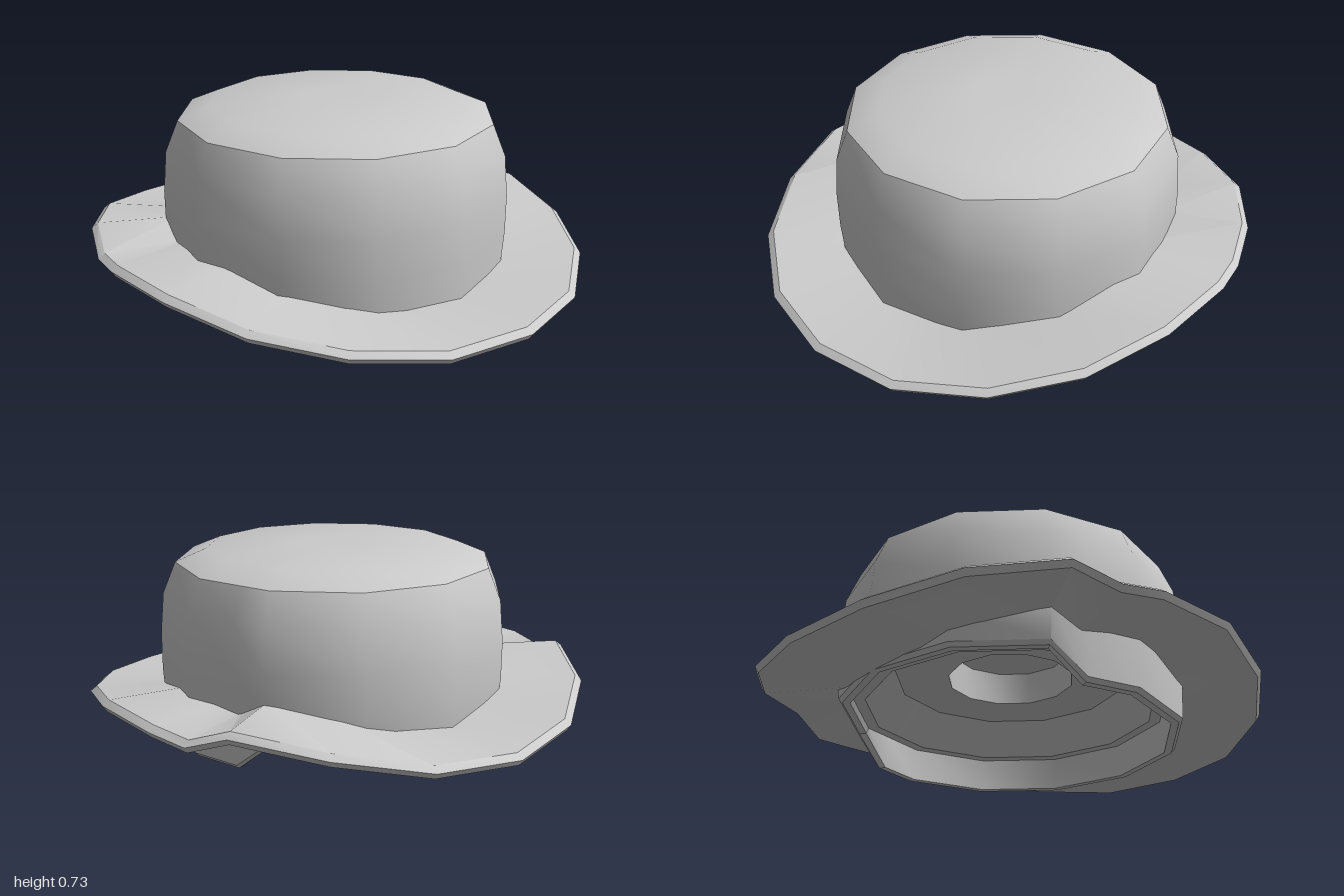
import * as THREE from 'three';
import { toCreasedNormals } from 'three/addons/utils/BufferGeometryUtils.js';

const material = new THREE.MeshStandardMaterial({ color: 0xcccccc, side: THREE.DoubleSide });

// Full circle of angles (degrees from the front) from one half, mirrored
const fullCircle = (half) => [...half, ...half.slice(1, -1).reverse().map((a) => 360 - a)];

// Skin running round the given angles; section(a) returns [radius, y] points, outer side first
function loft(name, angles, section, crease) {
  const rings = angles.map((deg) => {
    const a = THREE.MathUtils.degToRad(deg);
    return section(deg <= 180 ? deg : 360 - deg).map(([r, y]) => [r * Math.sin(a), y, r * Math.cos(a)]);
  });
  const n = rings[0].length;
  const isCentre = (p) => Math.hypot(p[0], p[2]) < 1e-6;
  const positions = [];
  rings.forEach((ring, i) => {
    const next = rings[(i + 1) % rings.length];
    for (let j = 0; j < n - 1; j++) {
      const [a, b, c, d] = [ring[j], ring[j + 1], next[j + 1], next[j]];
      if (!isCentre(b)) positions.push(...a, ...b, ...c);
      if (!isCentre(a)) positions.push(...a, ...c, ...d);
    }
  });
  const geometry = new THREE.BufferGeometry();
  geometry.setAttribute('position', new THREE.Float32BufferAttribute(positions, 3));
  const mesh = new THREE.Mesh(toCreasedNormals(geometry, crease), material);
  mesh.name = name;
  return mesh;
}

// Crown: twelve-sided, hollow below, with its lower edge cut higher at the back
function createCrown() {
  const angles = fullCircle([0, 30, 60, 90, 108, 120, 150, 180]);
  return loft('crown', angles, (deg) => {
    const hem = 0.11 * THREE.MathUtils.clamp((deg - 108) / 12, 0, 1);
    // keep the sides of the twelve-sided outline straight at the extra angle
    const k = deg === 108 ? Math.cos(Math.PI / 12) / Math.cos(THREE.MathUtils.degToRad(3)) : 1;
    const profile = [
      [0, 0.728], [0.12, 0.733], [0.5, 0.72], [0.62, 0.67], // lid
      [0.67, 0.55], [0.685, 0.39], [0.685, 0.24], // wall
      [0.67, hem + 0.015], [0.655, hem], [0.625, hem], // hem
      [0.615, 0.13], [0.57, 0.13], [0.46, 0.26], // stepped lining
      [0.25, 0.26], [0.24, 0.39], [0, 0.39],
    ];
    return profile.map(([r, y]) => [r * k, y]);
  }, 0.6);
}

// Brim: low at the front, raised at the sides, with a kink before the sloping back
function createBrim() {
  const heights = {
    0: 0.1, 20: 0.105, 40: 0.14, 60: 0.185, 80: 0.235, 100: 0.235,
    110: 0.22, 120: 0.28, 140: 0.235, 160: 0.175, 180: 0.152,
  };
  const angles = fullCircle(Object.keys(heights).map(Number));
  return loft('brim', angles, (deg) => {
    const a = THREE.MathUtils.degToRad(deg);
    const outer = 1 / Math.hypot(Math.sin(a) / 0.96, Math.cos(a));
    const y = heights[deg];
    return [
      [0.635, y], [outer - 0.025, y], [outer, y - 0.02],
      [outer - 0.015, y - 0.043], [0.635, y - 0.043],
    ];
  }, 0.6);
}

export function createModel() {
  const hat = new THREE.Group();
  hat.name = 'hat';
  hat.add(createCrown(), createBrim());
  return hat;
}
